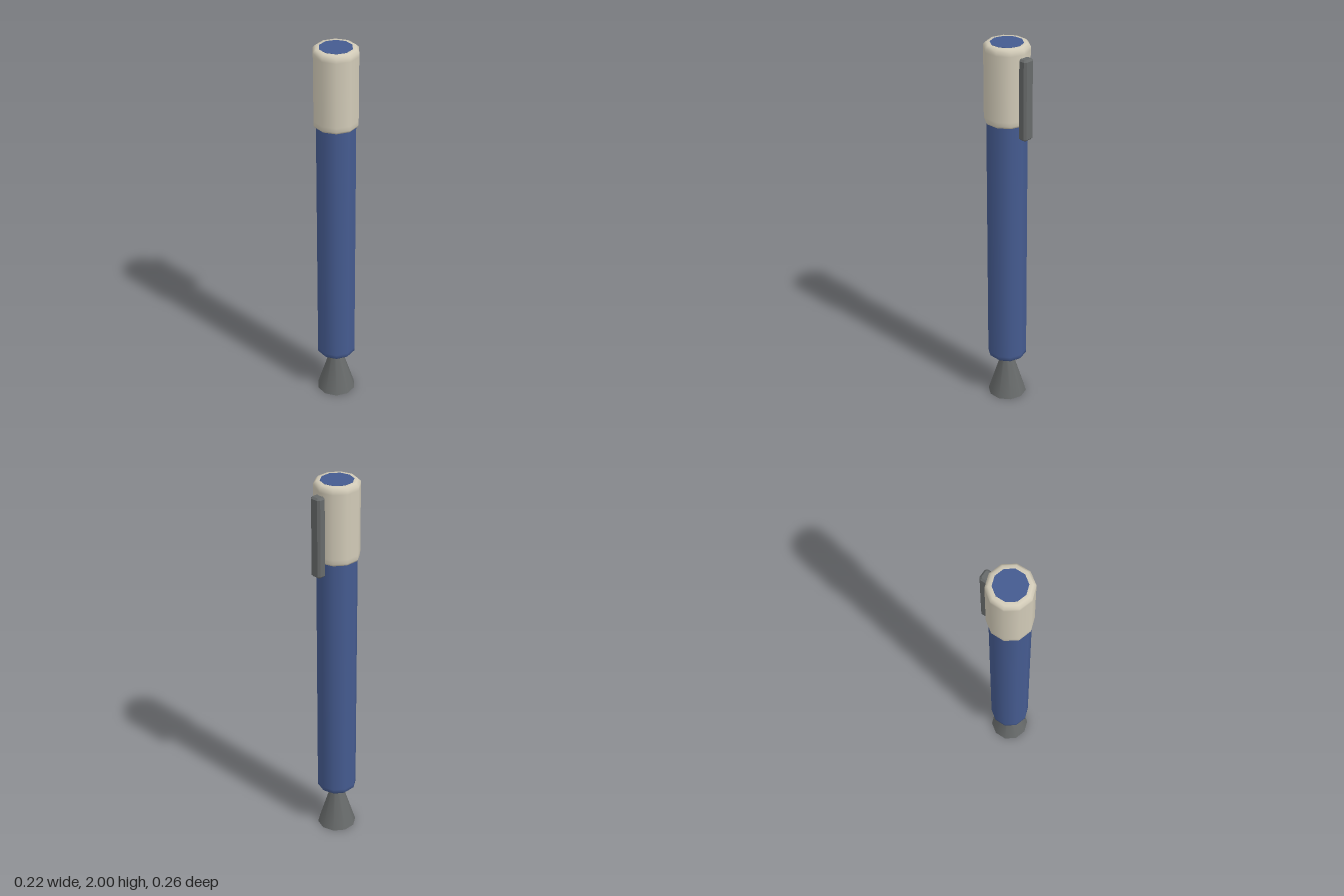
import * as THREE from 'three';

const SIDES = 10;
const AXIS_Z = 0.017; // the barrel sits slightly forward to balance the clip

function material(name, color, extra = {}) {
  const m = new THREE.MeshStandardMaterial({ color, ...extra });
  m.name = name;
  return m;
}

// Ten-sided turned part from [radius, y] pairs, listed bottom to top
function turned(name, points, mat) {
  const profile = points.map(([r, y]) => new THREE.Vector2(r, y));
  const mesh = new THREE.Mesh(new THREE.LatheGeometry(profile, SIDES), mat);
  mesh.name = name;
  mesh.position.z = AXIS_Z;
  return mesh;
}

// Upright bar with every edge chamfered
function chamferedBar(w, h, d, c) {
  const x = w / 2 - c, z = d / 2 - c;
  const k = c * 0.6;
  const shape = new THREE.Shape([
    [-x + k, -z], [x - k, -z], [x, -z + k], [x, z - k],
    [x - k, z], [-x + k, z], [-x, z - k], [-x, -z + k],
  ].map(([a, b]) => new THREE.Vector2(a, b)));
  const geo = new THREE.ExtrudeGeometry(shape, {
    depth: h - 2 * c, bevelEnabled: true, bevelThickness: c, bevelSize: c, bevelSegments: 1,
  });
  geo.translate(0, 0, -(h - 2 * c) / 2);
  geo.rotateX(-Math.PI / 2);
  return geo;
}

export function createModel() {
  const blue = material('blue', 0x455b90);
  const cream = material('cream', 0xd2cbb8);
  const grey = material('grey', 0x676a6a);
  const greyOpen = material('greyNozzle', 0x676a6a, { side: THREE.DoubleSide });

  const model = new THREE.Group();
  model.name = 'model';

  // Flared hollow nozzle at the foot
  model.add(turned('nozzle', [[0.102, 0], [0.026, 0.245]], greyOpen));

  // Long barrel with a chamfered lower edge
  model.add(turned('barrel', [
    [0, 0.238], [0.088, 0.238], [0.102, 0.252], [0.102, 0.27], [0.102, 1.62],
  ], blue));

  // Cap sleeve, chamfered at both ends
  model.add(turned('cap', [
    [0.098, 1.597], [0.108, 1.597], [0.114, 1.608], [0.114, 1.63],
    [0.114, 1.965], [0.114, 1.985], [0.1, 1.999], [0.082, 1.999],
  ], cream));

  // Flat disc set in the top of the cap
  const disc = new THREE.Mesh(new THREE.CylinderGeometry(0.0825, 0.0825, 0.006, SIDES), blue);
  disc.name = 'topDisc';
  disc.position.set(0, 1.997, AXIS_Z);
  model.add(disc);

  // Clip on the back
  const clip = new THREE.Mesh(chamferedBar(0.062, 0.415, 0.05, 0.009), grey);
  clip.name = 'clip';
  clip.position.set(0, 1.742, -0.108);
  model.add(clip);

  return model;
}
